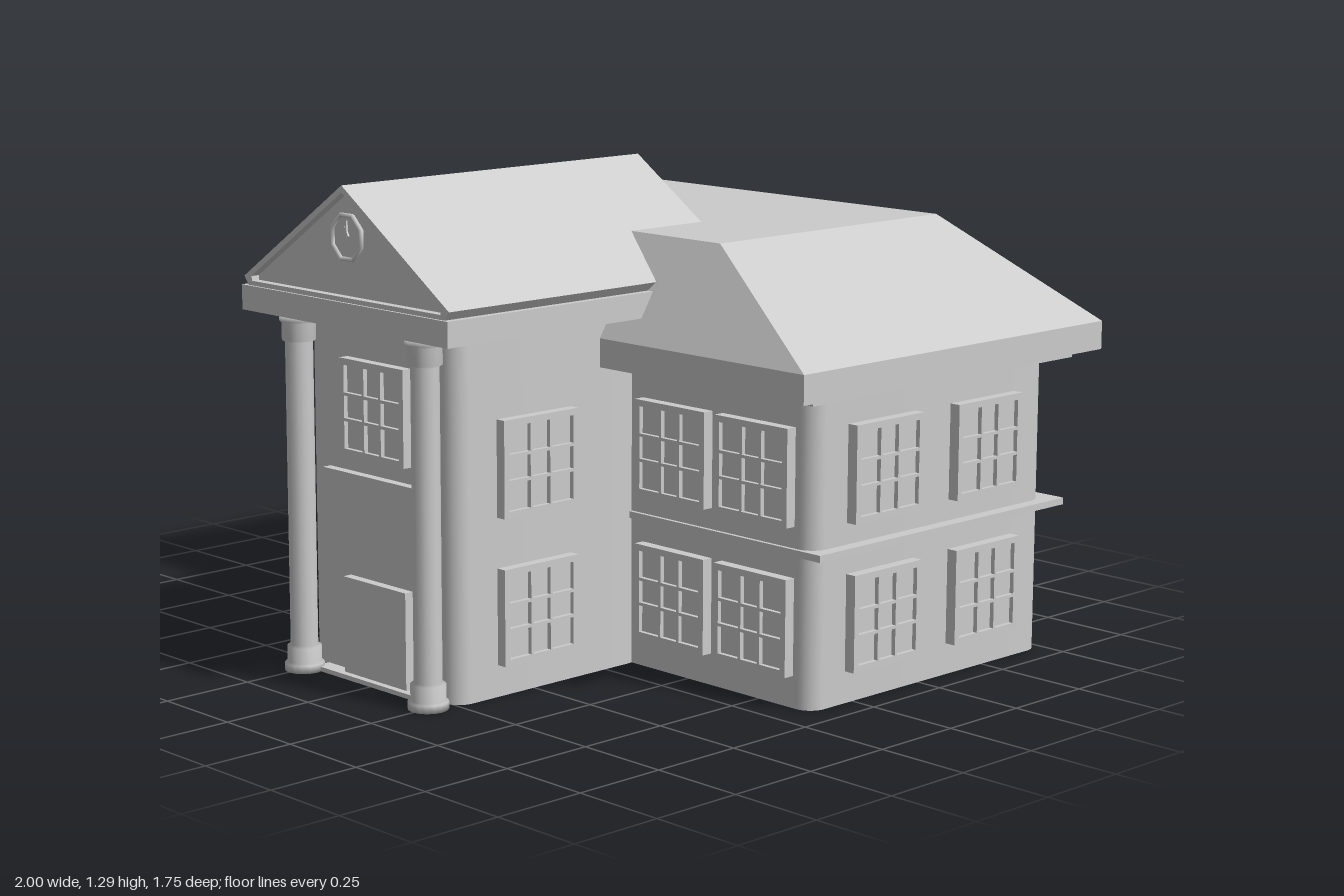
import * as THREE from 'three';

const grey = new THREE.MeshStandardMaterial({ color: 0xcccccc });
const greyOpen = new THREE.MeshStandardMaterial({ color: 0xcccccc, side: THREE.DoubleSide });

function add(parent, name, geometry, material = grey) {
  const mesh = new THREE.Mesh(geometry, material);
  mesh.name = name;
  parent.add(mesh);
  return mesh;
}

// Box given by its limits on each axis
function block(parent, name, [x0, x1], [y0, y1], [z0, z1]) {
  const mesh = add(parent, name, new THREE.BoxGeometry(x1 - x0, y1 - y0, z1 - z0));
  mesh.position.set((x0 + x1) / 2, (y0 + y1) / 2, (z0 + z1) / 2);
  return mesh;
}

// Open wall shell: a tube whose quarters are pushed apart into a rounded rectangle
function walls(parent, name, halfX, z0, z1, height, r = 0.05) {
  const n = 32, halfZ = (z1 - z0) / 2;
  const geo = new THREE.CylinderGeometry(r, r, height, n, 1, true, Math.PI / n);
  const p = geo.attributes.position;
  for (let i = 0; i < p.count; i++) {
    p.setX(i, p.getX(i) + Math.sign(p.getX(i)) * (halfX - r));
    p.setZ(i, p.getZ(i) + Math.sign(p.getZ(i)) * (halfZ - r));
  }
  add(parent, name, geo, greyOpen).position.set(0, height / 2, (z0 + z1) / 2);
}

function rect(shape, x0, y0, x1, y1) {
  return shape.moveTo(x0, y0).lineTo(x1, y0).lineTo(x1, y1).lineTo(x0, y1).closePath();
}

// Nine-pane window frame, shared by all windows
function windowFrame() {
  const s = 0.125, bar = 0.004, mid = 0.033, edge = s - 0.017;
  const spans = [[-edge, -mid - bar], [-mid + bar, mid - bar], [mid + bar, edge]];
  const shape = rect(new THREE.Shape(), -s, -s, s, s);
  for (const [x0, x1] of spans)
    for (const [y0, y1] of spans) shape.holes.push(rect(new THREE.Path(), x0, y0, x1, y1));
  return new THREE.ExtrudeGeometry(shape, { depth: 0.03, bevelEnabled: false });
}
const frameGeo = windowFrame();
const paneGeo = new THREE.BoxGeometry(0.235, 0.235, 0.018);

function addWindow(parent, x, y, z, turn = 0) {
  const g = new THREE.Group();
  g.name = 'window';
  add(g, 'windowFrame', frameGeo);
  add(g, 'windowPane', paneGeo).position.z = 0.009;
  g.position.set(x, y, z);
  g.rotation.y = turn;
  parent.add(g);
}

// Hipped roof with a vertical fascia and a flat top
function hippedRoof(parent) {
  const geo = new THREE.BoxGeometry(2, 2, 2, 1, 2, 1).toNonIndexed();
  const p = geo.attributes.position;
  for (let i = 0; i < p.count; i++) {
    const level = Math.round(p.getY(i)) + 1, top = level === 2;
    p.setXYZ(i,
      p.getX(i) * (top ? 0.56 : 1),
      [0.8, 0.875, 1.13][level],
      -0.3025 + p.getZ(i) * (top ? 0.4125 : 0.5725));
  }
  geo.computeVertexNormals();
  add(parent, 'mainRoof', geo);
}

function createMainBuilding() {
  const g = new THREE.Group();
  g.name = 'mainBuilding';
  walls(g, 'mainWalls', 0.928, -0.74, 0.155, 0.8);
  block(g, 'floorBand', [-0.963, 0.963], [0.39, 0.408], [-0.78, 0.165]);
  block(g, 'eavesTrim', [-0.963, 0.963], [0.783, 0.802], [-0.8, 0.197]);
  hippedRoof(g);

  for (const y of [0.208, 0.588]) {
    for (const x of [-0.75, -0.465, -0.2, 0.457, 0.743]) addWindow(g, x, y, 0.155);
    for (let i = -2; i <= 2; i++) addWindow(g, i * 0.37, y, -0.74, Math.PI);
    for (const side of [-1, 1])
      for (const z of [-0.095, -0.48]) addWindow(g, side * 0.928, y, z, side * Math.PI / 2);
  }
  return g;
}

function createColumn() {
  // Profile: stepped base, plain shaft, stepped capital
  const profile = [
    [0, 0], [0.052, 0], [0.052, 0.02], [0.045, 0.025], [0.045, 0.065], [0.036, 0.07],
    [0.036, 0.865], [0.044, 0.87], [0.044, 0.915], [0.05, 0.92], [0.05, 0.935], [0, 0.935],
  ].map(([x, y]) => new THREE.Vector2(x, y));
  return new THREE.LatheGeometry(profile, 16);
}

function createGable(parent) {
  // Gable roof body, with a thin raised rim around the front triangle
  const outline = (s) => s.moveTo(-0.385, 1).lineTo(0.385, 1).lineTo(0.402, 1.022)
    .lineTo(0, 1.29).lineTo(-0.402, 1.022).closePath();
  const extrude = (shape, depth) => new THREE.ExtrudeGeometry(shape, { depth, bevelEnabled: false });
  add(parent, 'gableRoof', extrude(outline(new THREE.Shape()), 0.99)).position.z = -0.145;
  const rim = outline(new THREE.Shape());
  rim.holes.push(new THREE.Path().moveTo(-0.37, 1.012).lineTo(0.37, 1.012).lineTo(0.372, 1.024)
    .lineTo(0, 1.272).lineTo(-0.372, 1.024).closePath());
  add(parent, 'gableRim', extrude(rim, 0.023)).position.z = 0.845;

  // Round clock face
  const clock = new THREE.Group();
  clock.name = 'clock';
  clock.position.set(0, 1.16, 0.845);
  const face = add(clock, 'clockFace', new THREE.CylinderGeometry(0.06, 0.06, 0.012, 8));
  face.rotation.set(Math.PI / 2, Math.PI / 8, 0);
  const ring = add(clock, 'clockRing', new THREE.TorusGeometry(0.059, 0.006, 6, 8));
  ring.position.z = 0.008;
  ring.rotation.z = Math.PI / 8;
  block(clock, 'minuteHand', [-0.002, 0.002], [0, 0.042], [0.005, 0.011]);
  block(clock, 'hourHand', [-0.002, 0.002], [0, 0.028], [0.005, 0.011]).rotation.z = 0.5;
  parent.add(clock);
}

function createEntrance() {
  const g = new THREE.Group();
  g.name = 'entrance';
  walls(g, 'entranceWalls', 0.292, 0.12, 0.757, 0.94);
  block(g, 'entablature', [-0.404, 0.404], [0.935, 1.0], [0.1, 0.875]);
  createGable(g);

  // Columns
  const column = createColumn();
  for (const side of [-1, 1]) add(g, 'column', column).position.set(side * 0.248, 0, 0.815);

  // Front: doorstep, door, plain sign board, window
  block(g, 'doorstep', [-0.22, 0.22], [0, 0.012], [0.74, 0.8]);
  block(g, 'door', [-0.123, 0.123], [0.012, 0.265], [0.74, 0.782]);
  block(g, 'signBoard', [-0.2, 0.2], [0.43, 0.54], [0.74, 0.782]);
  addWindow(g, 0, 0.71, 0.754);

  // Side windows
  for (const side of [-1, 1])
    for (const y of [0.208, 0.588]) addWindow(g, side * 0.29, y, 0.497, side * Math.PI / 2);
  return g;
}

export function createModel() {
  const model = new THREE.Group();
  model.name = 'schoolhouse';
  model.add(createMainBuilding(), createEntrance());
  return model;
}
